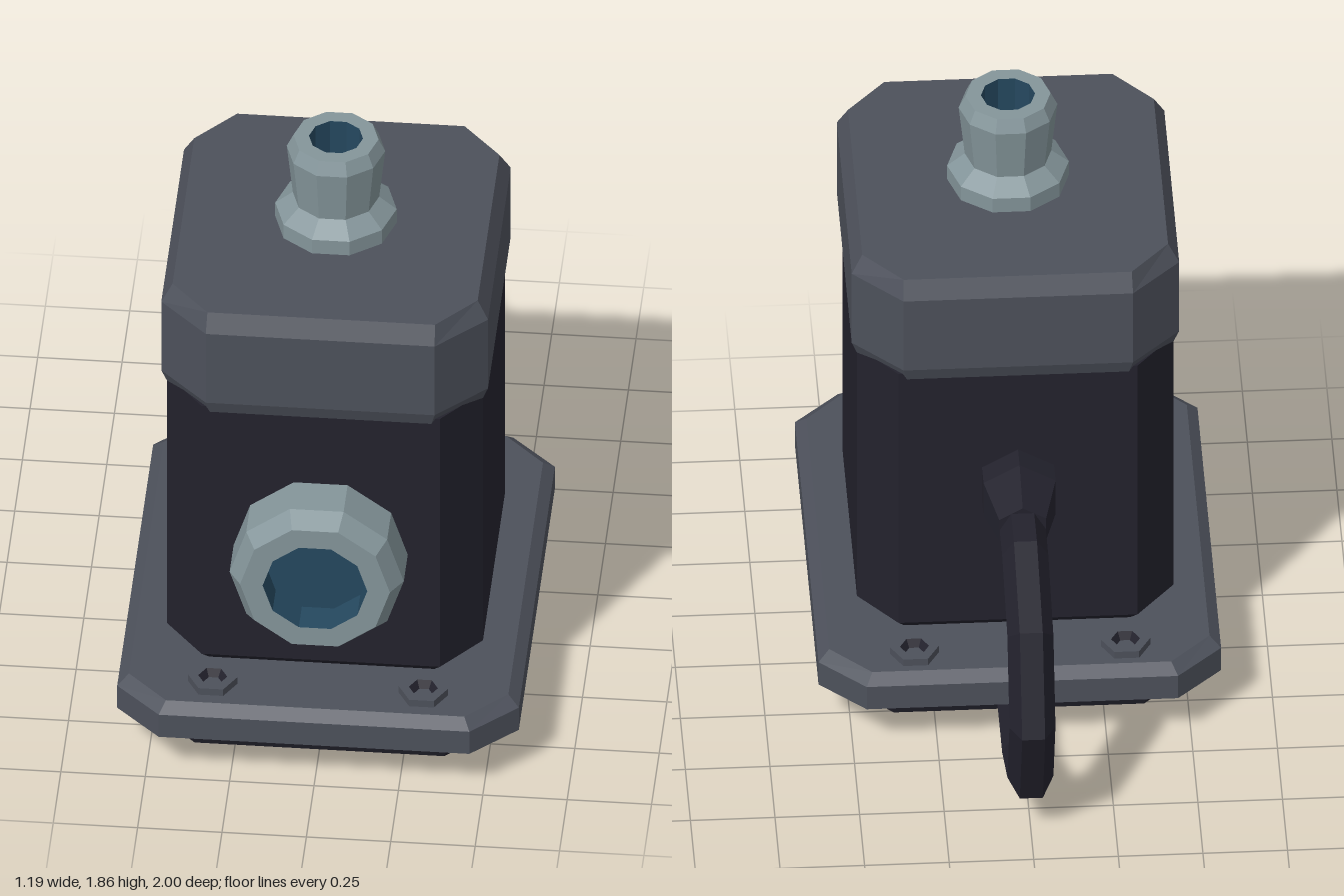
import * as THREE from 'three';

const mat = (name, color) => {
  const m = new THREE.MeshStandardMaterial({ color });
  m.name = name;
  return m;
};

// Faceted closed solid through a series of equal-length rings
function loft(rings) {
  const pos = [];
  const tri = (...pts) => pts.forEach((p) => pos.push(p.x, p.y, p.z));
  const n = rings[0].length, last = rings[rings.length - 1];
  for (let i = 0; i < rings.length - 1; i++) {
    for (let j = 0; j < n; j++) {
      const k = (j + 1) % n;
      const a = rings[i][j], b = rings[i][k], c = rings[i + 1][k], d = rings[i + 1][j];
      tri(a, b, c);
      tri(a, c, d);
    }
  }
  for (let j = 1; j < n - 1; j++) {
    tri(rings[0][0], rings[0][j + 1], rings[0][j]);
    tri(last[0], last[j], last[j + 1]);
  }
  const g = new THREE.BufferGeometry();
  g.setAttribute('position', new THREE.Float32BufferAttribute(pos, 3));
  g.computeVertexNormals();
  return g;
}

// Rectangle with cut corners: height, half width, half depth, corner cuts
function cutRect(y, hx, hz, cx, cz) {
  return [
    [hx, hz - cz], [hx, cz - hz], [hx - cx, -hz], [cx - hx, -hz],
    [-hx, cz - hz], [-hx, hz - cz], [cx - hx, hz], [hx - cx, hz],
  ].map(([x, z]) => new THREE.Vector3(x, y, z));
}
const block = (levels) => loft(levels.map((l) => cutRect(...l)));

// Faceted turned part
function turned(profile, sides, start = Math.PI / 2) {
  const pts = profile.map(([r, y]) => new THREE.Vector2(r, y));
  const g = new THREE.LatheGeometry(pts, sides, start).toNonIndexed();
  g.computeVertexNormals();
  return g;
}

// Hexagonal tube with mitred bends, path given as [y, z] in the x = 0 plane
function hexTube(path, r) {
  const p = path.map(([y, z]) => new THREE.Vector3(0, y, z));
  const X = new THREE.Vector3(1, 0, 0);
  return loft(p.map((c, i) => {
    const before = c.clone().sub(p[Math.max(i - 1, 0)]).normalize();
    const after = p[Math.min(i + 1, p.length - 1)].clone().sub(c).normalize();
    const t = before.clone().add(after).normalize();
    const mitre = 1 / t.dot(i ? before : after);
    const N = t.clone().cross(X);
    return Array.from({ length: 6 }, (_, j) => {
      const a = (j * Math.PI) / 3;
      return c.clone().addScaledVector(X, r * Math.cos(a)).addScaledVector(N, r * mitre * Math.sin(a));
    });
  }));
}

export function createModel() {
  const dark = mat('dark casing', 0x23222d);
  const grey = mat('grey plate', 0x4d515b);
  const metal = mat('pale metal', 0x84959a);
  const blue = mat('blue lens', 0x25485f);

  const model = new THREE.Group();
  const add = (name, geo, material, x = 0, y = 0, z = 0, parent = model) => {
    const m = new THREE.Mesh(geo, material);
    m.name = name;
    m.position.set(x, y, z);
    parent.add(m);
    return m;
  };
  const cz = 0.282;

  // Stacked housing
  add('foot', block([
    [0, 0.47, 0.54, 0.1, 0.1], [0.125, 0.515, 0.585, 0.115, 0.115],
  ]), dark, 0, 0, cz);
  add('flange', block([
    [0.12, 0.51, 0.635, 0.11, 0.11], [0.15, 0.595, 0.718, 0.135, 0.13],
    [0.232, 0.595, 0.718, 0.135, 0.13], [0.262, 0.562, 0.685, 0.12, 0.12],
  ]), grey, 0, 0, cz);
  add('body', block([
    [0.255, 0.425, 0.455, 0.095, 0.12], [0.3, 0.468, 0.5, 0.115, 0.14],
    [1.22, 0.468, 0.5, 0.115, 0.14],
  ]), dark, 0, 0, cz);
  add('cap', block([
    [1.2, 0.468, 0.5, 0.14, 0.14], [1.245, 0.484, 0.516, 0.145, 0.145],
    [1.5, 0.484, 0.516, 0.145, 0.145], [1.557, 0.452, 0.485, 0.115, 0.13],
  ]), grey, 0, 0, cz);

  // Top connector with a blue bore
  add('topConnector', turned([
    [0.18, 1.55], [0.18, 1.607], [0.128, 1.65], [0.146, 1.82], [0.126, 1.862], [0.08, 1.862],
  ], 10), metal, 0, 0, cz);
  add('topBore', turned([[0.08, 1.862], [0.08, 1.72], [0, 1.72]], 10), blue, 0, 0, cz);

  // Front eyepiece with a recessed lens
  const eyepiece = new THREE.Group();
  eyepiece.name = 'eyepiece';
  eyepiece.position.set(0, 0.71, 0.77);
  eyepiece.rotation.x = Math.PI / 2;
  model.add(eyepiece);
  add('eyepieceRing', turned([
    [0.258, 0], [0.258, 0.142], [0.222, 0.2], [0.155, 0.2],
  ], 10), metal, 0, 0, 0, eyepiece);
  add('lens', turned([[0.155, 0.2], [0.155, 0.1], [0, 0.1]], 10), blue, 0, 0, 0, eyepiece);

  // Socket bolts on the flange
  const boltHead = turned([[0.073, 0.255], [0.073, 0.286], [0.043, 0.286]], 6);
  const boltSocket = turned([[0.043, 0.286], [0.027, 0.26]], 6);
  for (const x of [-0.312, 0.312]) {
    for (const z of [-0.316, 0.868]) {
      add('boltHead', boltHead, grey, x, 0, z);
      add('boltSocket', boltSocket, dark, x, 0, z);
    }
  }

  // Rear cable and its strain relief
  const boot = add('cableBoot', turned([
    [0.123, 0], [0.123, 0.09], [0.08, 0.245], [0, 0.245],
  ], 6, 0), dark, 0, 0.803, -0.205);
  boot.rotation.x = -Math.PI / 2;
  add('cable', hexTube([
    [0.805, -0.4], [0.805, -0.575], [0.7, -0.833], [0.44, -0.935],
    [0.18, -0.833], [0.077, -0.575], [0.077, -0.2],
  ], 0.068), dark);

  return model;
}
